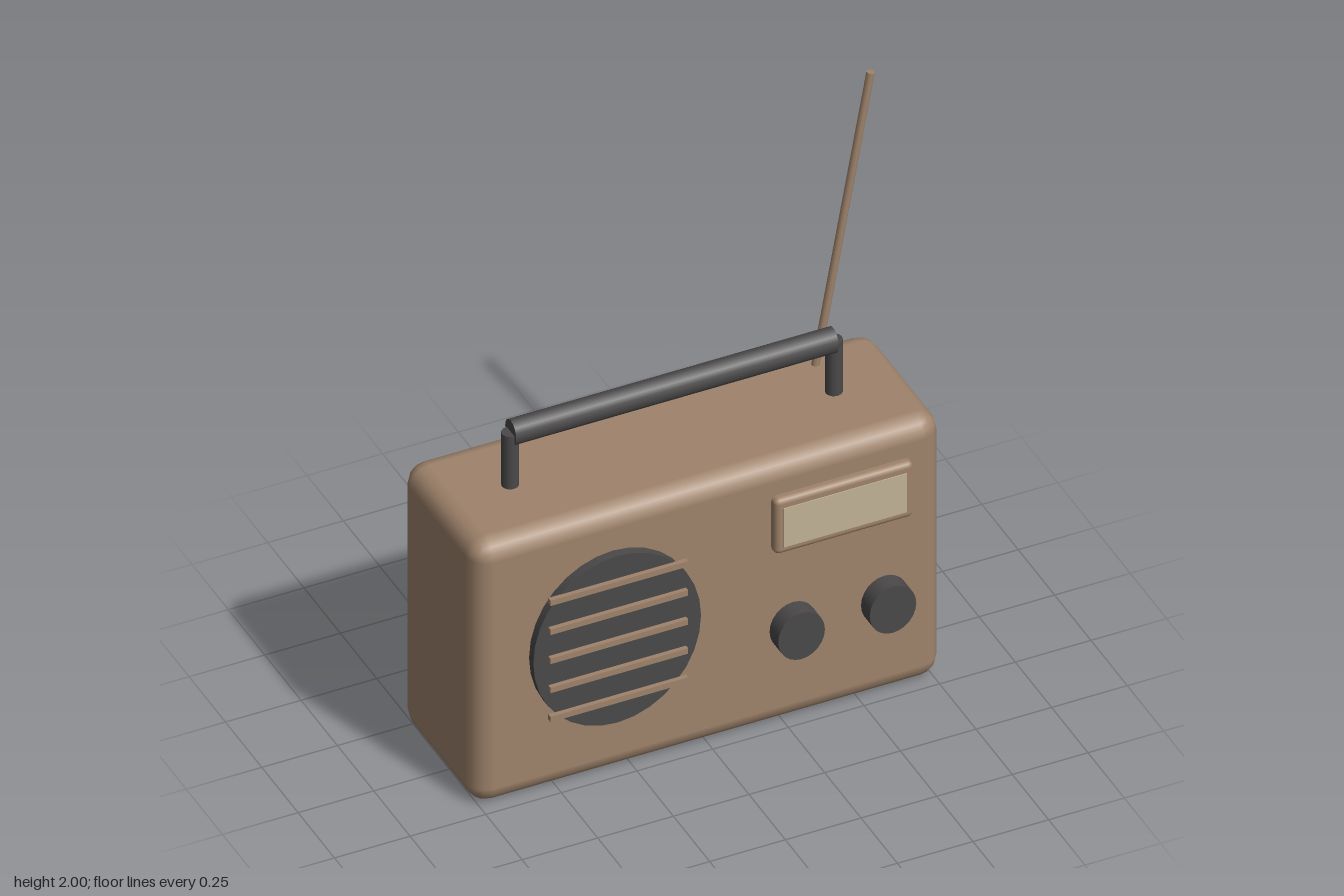
import * as THREE from 'three';
import { RoundedBoxGeometry } from 'three/addons/geometries/RoundedBoxGeometry.js';

const material = (name, color) => {
  const m = new THREE.MeshStandardMaterial({ color });
  m.name = name;
  return m;
};

export function createModel() {
  const brown = material('brown casing', 0x9f836b);
  const dark = material('dark grey plastic', 0x4b4949);
  const cream = material('cream dial', 0xc2b496);
  const model = new THREE.Group();
  model.name = 'portableRadio';

  const add = (name, geometry, mat, x, y, z) => {
    const mesh = new THREE.Mesh(geometry, mat);
    mesh.name = name;
    mesh.position.set(x, y, z);
    model.add(mesh);
    return mesh;
  };

  // Oval disc facing +z, from half-width, half-height and depth
  const disc = (rx, ry, depth, sides) =>
    new THREE.CylinderGeometry(1, 1, depth, sides).rotateX(Math.PI / 2).scale(rx, ry, 1);

  const front = 0.225;

  // Casing
  add('casing', new RoundedBoxGeometry(1.55, 0.97, 0.51, 2, 0.065), brown, 0, 0.485, -0.03);

  // Speaker and its grille bars
  add('speaker', disc(0.277, 0.31, 0.05, 32), dark, -0.318, 0.515, front + 0.005);
  for (let i = 0; i < 5; i++) {
    add('grilleBar', new THREE.BoxGeometry(0.455, 0.02, 0.016), brown, -0.318, 0.3 + i * 0.108, 0.262);
  }

  // Tuning dial: frame and thin window plate
  add('dialFrame', new RoundedBoxGeometry(0.46, 0.204, 0.06, 2, 0.018), brown, 0.435, 0.754, front);
  add('dialWindow', new THREE.BoxGeometry(0.408, 0.144, 0.006), cream, 0.435, 0.752, 0.255);

  // Knobs
  for (const x of [0.277, 0.579]) {
    add('knob', disc(0.077, 0.086, 0.07, 24), dark, x, 0.355, 0.25);
  }

  // Carrying handle
  for (const x of [-0.535, 0.535]) {
    add('handlePost', new THREE.CylinderGeometry(0.027, 0.027, 0.225, 12), dark, x, 1.0525, -0.03);
  }
  const grip = new THREE.CylinderGeometry(1, 1, 1.066, 16).rotateZ(Math.PI / 2).scale(1, 0.043, 0.038);
  add('handleGrip', grip, dark, 0, 1.163, -0.03);

  // Leaning antenna, its foot sunk in the casing
  const foot = new THREE.Vector3(0.535, 0.92, -0.175);
  const tip = new THREE.Vector3(0.726, 1.998, -0.175);
  const rod = new THREE.CylinderGeometry(0.013, 0.013, foot.distanceTo(tip), 10);
  const middle = foot.clone().lerp(tip, 0.5);
  const antenna = add('antenna', rod, brown, middle.x, middle.y, middle.z);
  antenna.quaternion.setFromUnitVectors(new THREE.Vector3(0, 1, 0), tip.clone().sub(foot).normalize());

  return model;
}
